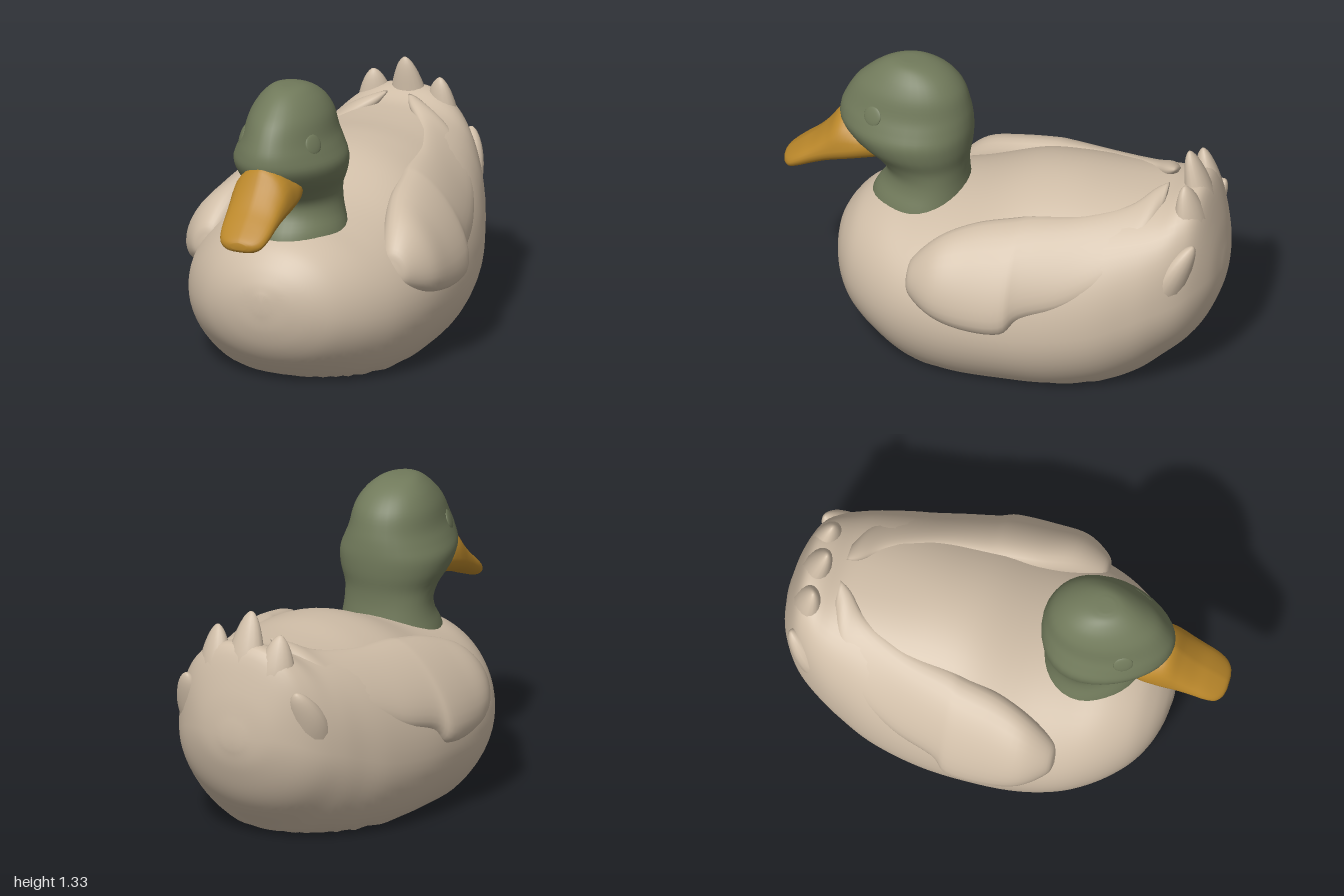
import * as THREE from 'three';
import { toCreasedNormals } from 'three/addons/utils/BufferGeometryUtils.js';

const V = (x, y, z) => new THREE.Vector3(x, y, z);

// Smoothly resample a table of section measurements
function resample(rows, count) {
  const n = rows[0].length;
  const spline = new THREE.CubicInterpolant(rows.map((_, i) => i), rows.flat(), n, new Float32Array(n));
  return Array.from({ length: count + 1 }, (_, i) =>
    Array.from(spline.evaluate((i / count) * (rows.length - 1))));
}

// Points around one section: f(cos, sin) gives a point
function ring(n, f) {
  return Array.from({ length: n }, (_, i) => {
    const a = (i / n) * Math.PI * 2;
    return f(Math.cos(a), Math.sin(a));
  });
}

const power = (v, e) => Math.sign(v) * Math.abs(v) ** e;

// Closed skin over a list of rings, always wound outwards
function loft(rings) {
  const n = rings[0].length;
  const pts = rings.flat();
  const tris = [];
  for (let r = 0; r < rings.length - 1; r++) {
    for (let i = 0; i < n; i++) {
      const a = r * n + i, b = r * n + (i + 1) % n;
      tris.push([a, b, b + n], [a, b + n, a + n]);
    }
  }
  [0, rings.length - 1].forEach((r, end) => {
    const mid = rings[r].reduce((s, p) => s.add(p), V(0, 0, 0)).divideScalar(n);
    const c = pts.push(mid) - 1;
    for (let i = 0; i < n; i++) {
      const a = r * n + i, b = r * n + (i + 1) % n;
      tris.push(end ? [c, a, b] : [c, b, a]);
    }
  });
  let volume = 0;
  const cross = V(0, 0, 0);
  for (const [a, b, c] of tris) volume += pts[a].dot(cross.crossVectors(pts[b], pts[c]));
  if (volume < 0) tris.forEach((t) => t.reverse());
  const geo = new THREE.BufferGeometry().setFromPoints(pts);
  geo.setIndex(tris.flat());
  geo.computeVertexNormals();
  return geo;
}

// Plump pointed feather swept along a curve, flat across the direction "across"
function feather(points, width, thick, across) {
  const curve = new THREE.CatmullRomCurve3(points);
  const rings = [];
  for (let i = 0; i <= 14; i++) {
    const u = 1 - (1 - i / 14) ** 1.5;
    const p = curve.getPoint(u), t = curve.getTangent(u);
    const out = V(0, 0, 0).crossVectors(t, across).normalize();
    const side = V(0, 0, 0).crossVectors(out, t);
    const k = Math.max(0.06, (1 - u) ** 0.5);
    rings.push(ring(16, (c, s) => p.clone().addScaledVector(side, c * width * k).addScaledVector(out, s * thick * k)));
  }
  return loft(rings);
}

// Body sections: z, bottom, top, half width, height of widest point, squareness above
const BODY = [
  [0.748, 0.36, 0.44, 0.03, 0.40, 1], [0.73, 0.26, 0.50, 0.14, 0.38, 1],
  [0.69, 0.165, 0.57, 0.245, 0.36, 1], [0.62, 0.08, 0.64, 0.345, 0.34, 1],
  [0.50, -0.01, 0.69, 0.445, 0.32, 1], [0.35, -0.10, 0.71, 0.52, 0.31, 1],
  [0.15, -0.14, 0.755, 0.565, 0.30, 1], [-0.10, -0.14, 0.85, 0.575, 0.30, 1],
  [-0.30, -0.14, 0.875, 0.56, 0.31, 1], [-0.50, -0.10, 0.865, 0.52, 0.34, 0.92],
  [-0.65, -0.03, 0.865, 0.465, 0.39, 0.85], [-0.75, 0.05, 0.875, 0.42, 0.43, 0.82],
  [-0.85, 0.14, 0.915, 0.355, 0.46, 0.8], [-0.92, 0.235, 0.895, 0.28, 0.50, 0.8],
  [-0.975, 0.36, 0.72, 0.175, 0.52, 0.9], [-1.0, 0.46, 0.56, 0.05, 0.51, 1],
];

// Head and neck sections: y, front z, back z, half width
const HEAD = [
  [0.58, 0.62, 0.14, 0.245], [0.67, 0.595, 0.16, 0.225], [0.74, 0.55, 0.17, 0.205],
  [0.80, 0.545, 0.175, 0.198], [0.86, 0.60, 0.172, 0.206], [0.93, 0.69, 0.16, 0.235],
  [1.0, 0.745, 0.155, 0.245], [1.06, 0.75, 0.158, 0.222], [1.12, 0.73, 0.168, 0.196],
  [1.20, 0.685, 0.192, 0.175], [1.26, 0.625, 0.238, 0.143], [1.30, 0.572, 0.295, 0.106],
  [1.322, 0.525, 0.355, 0.072], [1.33, 0.48, 0.41, 0.035],
];

// Bill sections: z, top, side height, bottom, half width
const BILL = [
  [0.52, 0.96, 0.90, 0.84, 0.10], [0.62, 1.0, 0.905, 0.828, 0.142],
  [0.70, 1.04, 0.885, 0.808, 0.142], [0.75, 1.03, 0.87, 0.795, 0.137],
  [0.80, 0.96, 0.85, 0.78, 0.13], [0.86, 0.89, 0.82, 0.757, 0.123],
  [0.92, 0.84, 0.785, 0.732, 0.116], [0.965, 0.803, 0.757, 0.717, 0.10],
  [0.99, 0.78, 0.75, 0.722, 0.07], [1.0, 0.765, 0.75, 0.735, 0.035],
];

// Wing sections: z, upper x, upper y, lower x, lower y, thickness
const WING = [
  [0.335, 0.44, 0.51, 0.47, 0.47, 0.01], [0.31, 0.42, 0.58, 0.50, 0.42, 0.06],
  [0.20, 0.38, 0.68, 0.565, 0.37, 0.10], [0.05, 0.33, 0.74, 0.59, 0.34, 0.11],
  [-0.12, 0.30, 0.775, 0.59, 0.345, 0.11], [-0.20, 0.28, 0.785, 0.55, 0.41, 0.10],
  [-0.40, 0.25, 0.80, 0.505, 0.48, 0.07], [-0.60, 0.17, 0.835, 0.42, 0.61, 0.05],
  [-0.70, 0.08, 0.885, 0.29, 0.75, 0.04], [-0.755, 0.05, 0.91, 0.14, 0.86, 0.012],
];

export function createModel() {
  const group = new THREE.Group();
  const paint = (name, color) => {
    const m = new THREE.MeshStandardMaterial({ color });
    m.name = name;
    return m;
  };
  const cream = paint('cream plumage', 0xcfbda7);
  const green = paint('green plumage', 0x717a5b);
  const orange = paint('orange bill', 0xba872a);
  const add = (name, geo, mat) => {
    const mesh = new THREE.Mesh(geo, mat);
    mesh.name = name;
    group.add(mesh);
    return mesh;
  };

  // Egg-shaped body cut flat at the base, squarer toward the tail
  const body = loft(resample(BODY, 75).map(([z, lo, hi, w, mid, e]) =>
    ring(64, (c, s) => V(w * power(s, c > 0 ? e : 1),
      Math.max(0, mid + (c > 0 ? c ** e * (hi - mid) : c * (mid - lo))), z))));
  add('body', toCreasedNormals(body, 0.6), cream);

  // Head and neck, narrower toward the face
  add('headAndNeck', loft(resample(HEAD, 52).map(([y, f, b, w]) =>
    ring(36, (c, s) => V(w * s * (1 - 0.15 * c), y, (f + b) / 2 + c * (f - b) / 2)))), green);

  // Bill: sloping ridge above, squarer below
  add('bill', loft(resample(BILL, 36).map(([z, hi, mid, lo, w]) =>
    ring(32, (c, s) => V(w * power(s, c > 0 ? 1.45 : 0.6),
      mid + (c > 0 ? c ** 0.85 * (hi - mid) : c * (mid - lo)), z)))), orange);

  // Tall feather in the middle of the tail
  add('middleTailFeather', feather([V(0, 0.48, -0.86), V(0, 0.80, -0.88), V(0, 1.05, -0.83)], 0.14, 0.1, V(1, 0, 0)), cream);

  for (const s of [1, -1]) {
    const side = s > 0 ? 'left' : 'right';

    // Folded wing, its tip nearly reaching the middle of the back
    add(side + 'Wing', loft(resample(WING, 45).map(([z, ux, uy, lx, ly, t]) => {
      const ax = (ux - lx) / 2, ay = (uy - ly) / 2, len = Math.hypot(ax, ay);
      return ring(28, (c, k) => V(
        s * ((ux + lx) / 2 + ax * c + (ay / len) * t * k),
        (uy + ly) / 2 + ay * c - (ax / len) * t * k, z));
    })), cream);

    // Upturned outer tail and low flank feathers
    const plumes = [
      ['OuterTailFeather', [[0.10, 0.45, -0.84], [0.15, 0.76, -0.875], [0.16, 0.97, -0.85]], 0.14, 0.1],
      ['FlankFeather', [[0.24, 0.38, -0.74], [0.29, 0.58, -0.83], [0.28, 0.74, -0.92]], 0.13, 0.1],
    ];
    for (const [name, path, w, t] of plumes) {
      add(side + name, feather(path.map(([x, y, z]) => V(s * x, y, z)), w, t, V(1, 0, 0.4 * s)), cream);
    }

    // Slightly raised eye
    const eye = add(side + 'Eye', new THREE.SphereGeometry(0.045, 20, 12), green);
    eye.scale.set(1, 1, 0.2);
    eye.position.set(s * 0.17, 1.11, 0.565);
    eye.lookAt(s * 1.06, 1.45, 0.95);
  }
  return group;
}
